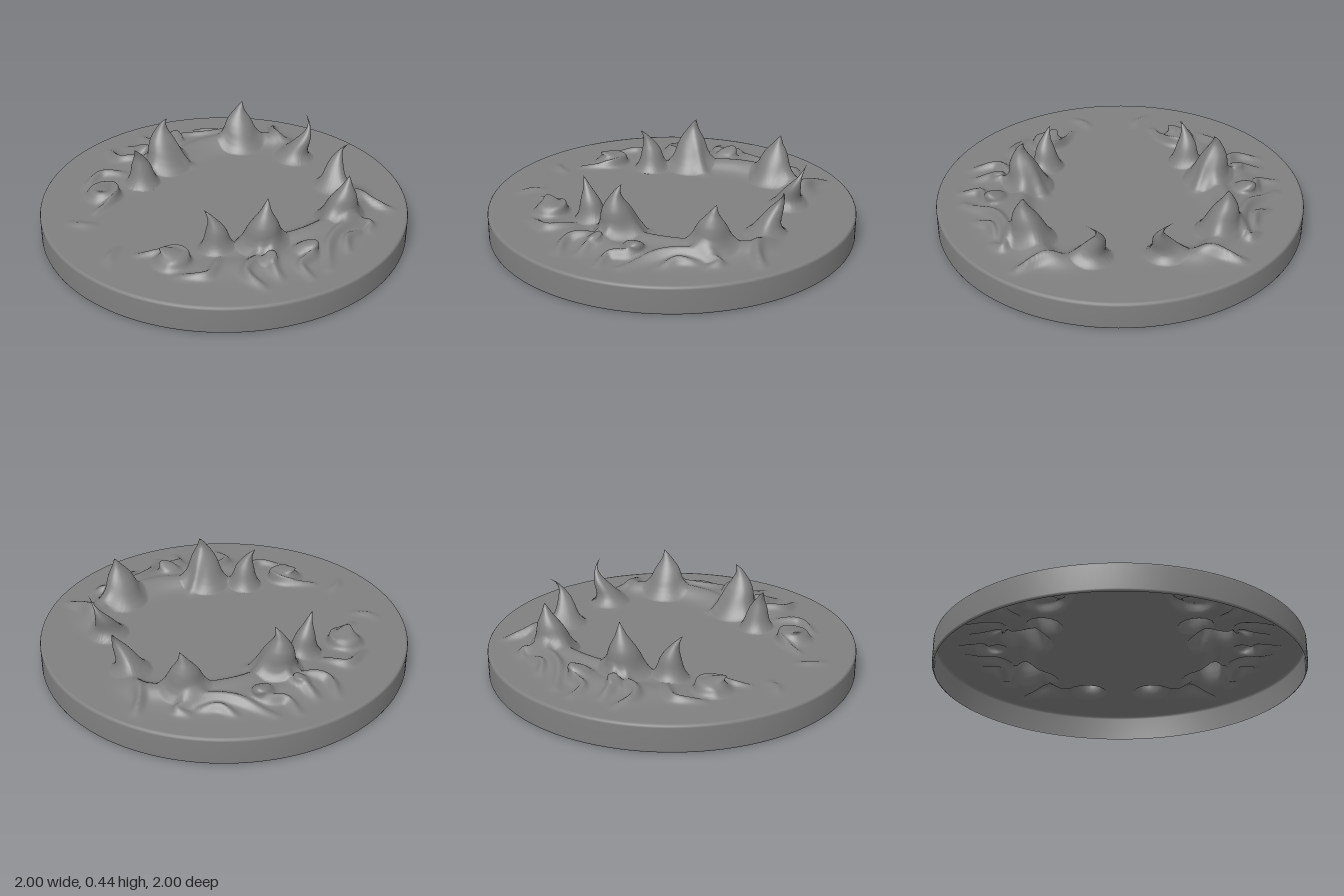
import * as THREE from 'three';

const TOP = 0.15, RIM = 0.985;
const AXIS = 0.075; // the back half mirrors the front across a line at this angle

// Flames: [x, z, base radius, height, slimness, belly shift x, z, tip shift x, z]
const FLAMES = [
  [-0.12, 0.49, 0.14, 0.29, 0.95, -0.015, 0.03, 0.02, 0.02],
  [-0.32, 0.37, 0.095, 0.235, 0.9, 0, 0.01, -0.055, -0.03],
  [0.38, 0.52, 0.135, 0.265, 0.95, 0, 0.02, 0.03, 0.03],
  [0.585, 0.235, 0.11, 0.25, 1.5, 0.04, -0.045, 0.09, 0.035],
  [-0.57, 0.34, 0.11, 0.075, 0.55, 0.01, 0.01, -0.04, -0.05],
  [0.02, 0.68, 0.07, 0.085, 0.6, 0.01, 0.01, 0.03, 0.03],
  [-0.2, 0.65, 0.05, 0.075, 0.6, 0.01, 0, 0.02, -0.02],
];

// Flame thickness as a fraction of its base, from foot to tip
const THICKNESS = [1, 0.78, 0.66, 0.58, 0.48, 0.34, 0.2, 0.1, 0];

// Curved ridges: [width, height, x, z, x, z, ...]
const RIDGES = [
  // banks joining the flames
  [0.06, 0.065, -0.36, 0.38, -0.1, 0.5, 0.12, 0.56, 0.36, 0.54, 0.6, 0.42, 0.58, 0.22],
  [0.08, 0.035, -0.45, 0.48, -0.2, 0.64, 0.2, 0.66, 0.56, 0.52],
  [0.03, 0.05, -0.14, 0.48, -0.05, 0.44, 0.0, 0.42],
  // waves
  [0.02, 0.045, -0.68, 0.19, -0.54, 0.27, -0.51, 0.36, -0.63, 0.39],
  [0.025, 0.035, -0.62, 0.47, -0.5, 0.55, -0.38, 0.48],
  [0.025, 0.04, -0.34, 0.79, -0.34, 0.65, -0.18, 0.57],
  [0.025, 0.04, -0.23, 0.78, -0.2, 0.68, -0.08, 0.56],
  [0.022, 0.04, -0.1, 0.86, -0.08, 0.76, 0.02, 0.73, -0.02, 0.64],
  [0.025, 0.045, 0.02, 0.85, 0.17, 0.69, 0.34, 0.64, 0.46, 0.67, 0.42, 0.71],
  [0.022, 0.035, 0.2, 0.79, 0.26, 0.72, 0.36, 0.7],
  [0.025, 0.045, 0.59, 0.4, 0.61, 0.52, 0.66, 0.62],
  // faint ripple
  [0.025, 0.016, -0.84, 0.16, -0.79, 0.11, -0.73, 0.08],
].map(([w, h, ...c]) => {
  const pts = [];
  for (let i = 0; i < c.length; i += 2) pts.push(new THREE.Vector3(c[i], 0, c[i + 1]));
  const path = new THREE.CatmullRomCurve3(pts).getPoints(120);
  return { w, h, path, box: new THREE.Box3().setFromPoints(path).expandByScalar(3 * w) };
});

// Height of the banks and waves at a point
function relief(x, z) {
  let sum = 0;
  for (const { w, h, path, box } of RIDGES) {
    if (x < box.min.x || x > box.max.x || z < box.min.z || z > box.max.z) continue;
    let best = 0;
    path.forEach((p, i) => {
      const d2 = (x - p.x) ** 2 + (z - p.z) ** 2;
      const taper = 0.25 + 0.75 * Math.sin((Math.PI * i) / (path.length - 1));
      best = Math.max(best, taper * Math.exp(-d2 / (w * w)));
    });
    sum += h * best;
  }
  return 0.1 * Math.tanh(sum / 0.1);
}

function thickness(s) {
  const f = s * (THICKNESS.length - 1), i = Math.min(Math.floor(f), THICKNESS.length - 2);
  return THREE.MathUtils.lerp(THICKNESS[i], THICKNESS[i + 1], f - i);
}

// Pull a point of the flat sheet up into waves and flames
function sculpt(x, z) {
  const base = relief(x, z);
  for (const [cx, cz, R, H, slim, bx, bz, tx, tz] of FLAMES) {
    const dx = x - cx, dz = z - cz, d = Math.hypot(dx, dz);
    if (d >= R) continue;
    const s = Math.min(1, (1 - d / R) * 1.04);
    const k = (R * thickness(s) ** slim) / Math.max(d, 1e-6);
    const belly = 6.75 * s * s * (1 - s), tip = s ** 3;
    return [
      cx + dx * k + bx * belly + tx * tip,
      TOP + base * (1 - s) + H * s,
      cz + dz * k + bz * belly + tz * tip,
    ];
  }
  return [x, TOP + base, z];
}

// Reflect across the mirror line
function reflect(x, z) {
  const c = Math.cos(2 * AXIS), s = Math.sin(2 * AXIS);
  return [x * c + z * s, x * s - z * c];
}

function sculptBothHalves(x, z) {
  if (z * Math.cos(AXIS) >= x * Math.sin(AXIS)) return sculpt(x, z);
  const [px, py, pz] = sculpt(...reflect(x, z));
  const [bx, bz] = reflect(px, pz);
  return [bx, py, bz];
}

// Polar sheet, fine where the flames stand
function sheetGeometry() {
  const SEG = 400, radii = [0.001, 0.06, 0.12, 0.18];
  for (let i = 0; i <= 138; i++) radii.push(0.22 + ((RIM - 0.22) * i) / 138);
  const pos = [], index = [];
  radii.forEach((r, i) => {
    for (let j = 0; j < SEG; j++) {
      const a = (j / SEG) * Math.PI * 2;
      pos.push(...sculptBothHalves(r * Math.cos(a), r * Math.sin(a)));
      if (i === radii.length - 1) continue;
      const p = i * SEG + j, q = i * SEG + ((j + 1) % SEG);
      index.push(p, q, p + SEG, q, q + SEG, p + SEG);
    }
  });
  const g = new THREE.BufferGeometry();
  g.setAttribute('position', new THREE.Float32BufferAttribute(pos, 3));
  g.setIndex(index);
  g.computeVertexNormals();
  return g;
}

export function createModel() {
  const group = new THREE.Group();
  const material = new THREE.MeshStandardMaterial({ color: 0x808080, side: THREE.DoubleSide });

  const sheet = new THREE.Mesh(sheetGeometry(), material);
  sheet.name = 'flameSheet';

  // Thin side wall, rounded at the top and open below
  const profile = [[0.99, 0], [0.997, 0.004], [1, 0.012], [1, 0.135], [0.997, 0.144], [0.992, 0.149], [RIM, TOP]];
  const wall = new THREE.Mesh(
    new THREE.LatheGeometry(profile.map(([r, y]) => new THREE.Vector2(r, y)), 200), material);
  wall.name = 'sideWall';

  group.add(sheet, wall);
  return group;
}
